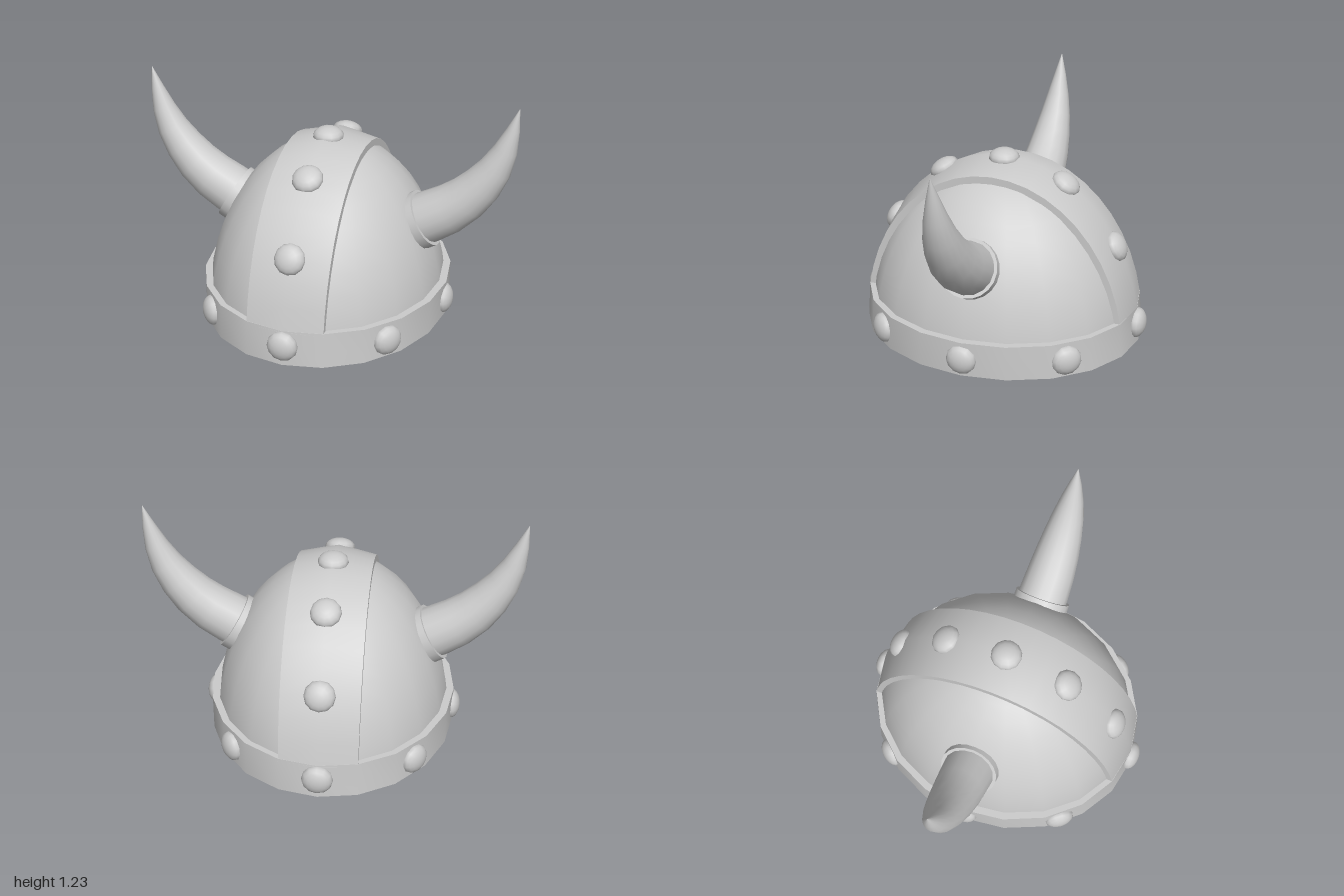
import * as THREE from 'three';
import { mergeVertices, toCreasedNormals } from 'three/addons/utils/BufferGeometryUtils.js';

const grey = new THREE.MeshStandardMaterial({ color: 0xcccccc });
const greyDouble = new THREE.MeshStandardMaterial({ color: 0xcccccc, side: THREE.DoubleSide });
const UP = new THREE.Vector3(0, 1, 0);

export function createModel() {
  const group = new THREE.Group();
  const add = (name, geometry, material = grey) => {
    const mesh = new THREE.Mesh(geometry, material);
    mesh.name = name;
    group.add(mesh);
    return mesh;
  };

  // Outer shell: half ellipsoid with the same sides as the rim
  const RX = 0.665, RZ = 0.765, RY = 0.965;
  add('dome', new THREE.SphereGeometry(1, 20, 12, 0, Math.PI * 2, 0, Math.PI / 2).scale(0.64, 0.93, 0.74));

  // Lining: shallower cap rising from the inner edge of the rim
  const capAngle = THREE.MathUtils.degToRad(55);
  const capHeight = 0.58 / (1 - Math.cos(capAngle)), capWidth = 0.81 / Math.sin(capAngle);
  const lining = new THREE.SphereGeometry(1, 20, 10, 0, Math.PI * 2, 0, capAngle)
    .translate(0, -Math.cos(capAngle), 0).scale(RX * capWidth, capHeight, RZ * capWidth);
  add('lining', lining, greyDouble).position.y = 0.06;

  // Rim band: twenty-sided oval ring, its ends leaning in to meet the crest
  const profile = [[0.81, 0.06], [0.81, 0], [1, 0], [1, 0.19], [0.9, 0.19]]
    .map(([r, y]) => new THREE.Vector2(r, y));
  const band = new THREE.LatheGeometry(profile, 20).scale(RX, 1, RZ);
  const b = band.attributes.position;
  for (let i = 0; i < b.count; i++) b.setZ(i, b.getZ(i) * (1 - 0.1 * b.getY(i)));
  add('rimBand', toCreasedNormals(band, 0.6), greyDouble);

  // Crest strip: a slab bent over the dome from front to back
  const strip = new THREE.BoxGeometry(0.412, 1, 1, 2, 1, 20);
  const p = strip.attributes.position;
  for (let i = 0; i < p.count; i++) {
    const x = p.getX(i);
    const t = Math.PI / 2 - p.getZ(i) * (Math.PI - 0.38);
    const k = Math.sqrt(1 - (x / 0.67) ** 2);
    const inset = p.getY(i) > 0 ? 0 : 0.07;
    p.setXYZ(i, x, (RY - inset) * k * Math.sin(t), (RZ - inset) * k * Math.cos(t));
  }
  strip.computeVertexNormals();
  add('crestStrip', strip);

  // Studs: flattened balls lying along the surface normal
  const studGeometry = new THREE.SphereGeometry(1, 12, 10).scale(0.082, 0.05, 0.082);
  const stud = (name, position, normal) => {
    const mesh = add(name, studGeometry);
    normal.normalize();
    mesh.position.copy(position).addScaledVector(normal, -0.012);
    mesh.quaternion.setFromUnitVectors(UP, normal);
  };
  for (const [x, y, z] of [[0, 0.105, 1], [1, 0.09, 0], [0.737, 0.09, 0.673]]) {
    for (const sx of x ? [1, -1] : [1]) {
      for (const sz of z ? [1, -1] : [1]) {
        stud('rimStud', new THREE.Vector3(RX * x * sx, y, RZ * z * sz),
          new THREE.Vector3((x * sx) / RX, 0, (z * sz) / RZ));
      }
    }
  }
  for (const degrees of [34, 63, 90, 117, 146]) {
    const a = THREE.MathUtils.degToRad(degrees), c = Math.cos(a), s = Math.sin(a);
    stud('crestStud', new THREE.Vector3(0, RY * s, RZ * c), new THREE.Vector3(0, s / RY, c / RZ));
  }

  // Horns with their collars, one on each side
  for (const side of [1, -1]) {
    const name = side > 0 ? 'left' : 'right';
    const axis = new THREE.Vector3(0.86 * side, 0.51, 0).normalize();
    const collar = add(name + 'HornCollar', new THREE.CylinderGeometry(0.155, 0.155, 0.11, 20));
    collar.position.set(0.54 * side, 0.555, 0).addScaledVector(axis, -0.055);
    collar.quaternion.setFromUnitVectors(UP, axis);

    const path = new THREE.CatmullRomCurve3(
      [[0.46, 0.51], [0.54, 0.555], [0.695, 0.65], [0.81, 0.765], [0.895, 0.892], [0.95, 1.03], [0.998, 1.225]]
        .map(([x, y]) => new THREE.Vector3(x * side, y, 0)));
    const rings = 8, sides = 16;
    const horn = new THREE.TubeGeometry(path, rings, 1, sides);
    const q = horn.attributes.position, v = new THREE.Vector3();
    for (let i = 0; i < q.count; i++) {
      const u = Math.floor(i / (sides + 1)) / rings;
      const centre = path.getPointAt(u);
      v.fromBufferAttribute(q, i).sub(centre).multiplyScalar(0.139 * (1 - u * u) + 0.001).add(centre);
      q.setXYZ(i, v.x, v.y, v.z);
    }
    horn.deleteAttribute('uv');
    horn.deleteAttribute('normal');
    const smooth = mergeVertices(horn);
    smooth.computeVertexNormals();
    add(name + 'Horn', smooth);
  }
  return group;
}
